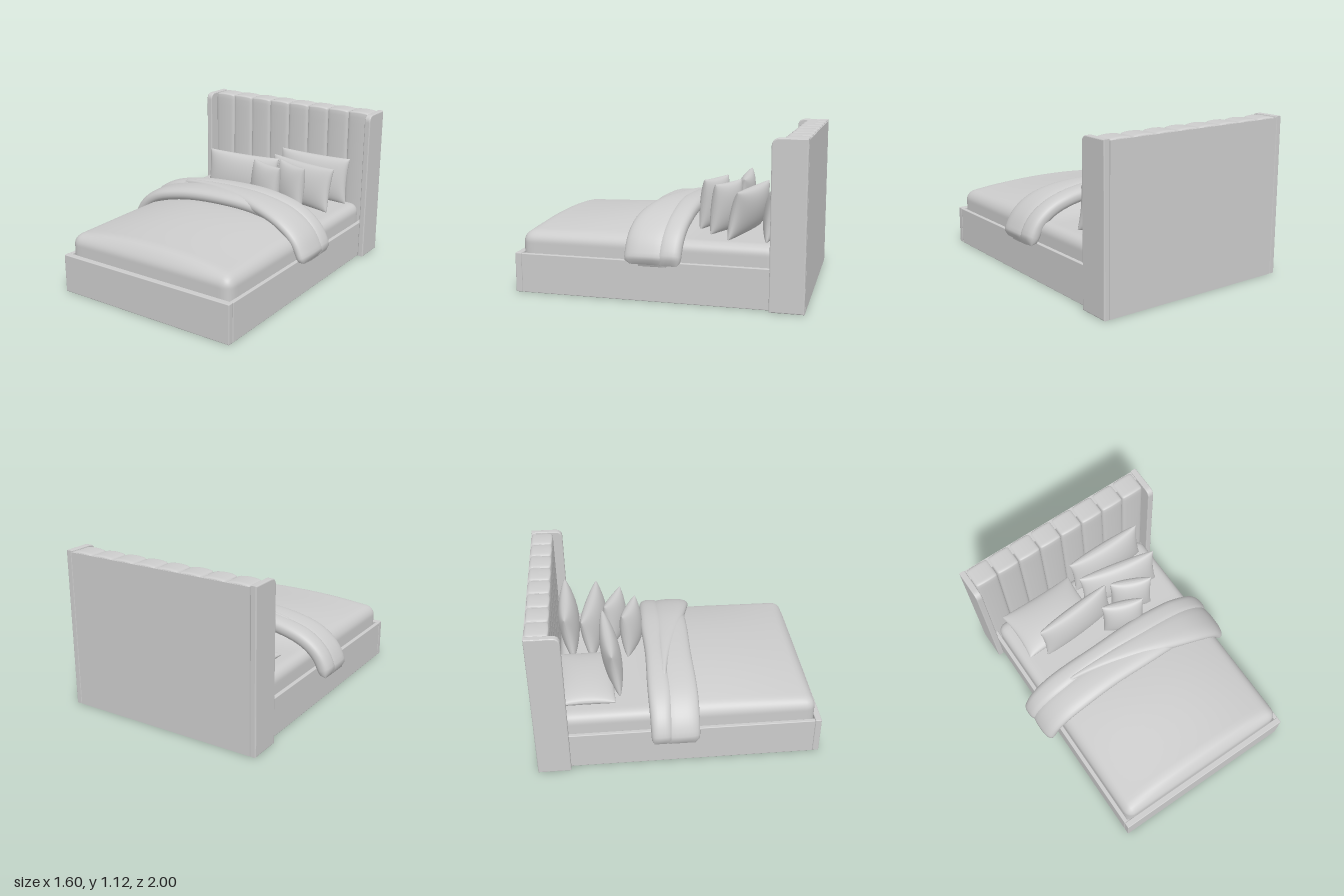
import * as THREE from 'three';
import { mergeVertices, mergeGeometries } from 'three/addons/utils/BufferGeometryUtils.js';
import { RoundedBoxGeometry } from 'three/addons/geometries/RoundedBoxGeometry.js';

const CX = 0.025; // centre line of the bed
const mat = new THREE.MeshStandardMaterial({ color: 0xcccccc, side: THREE.DoubleSide });

function add(parent, name, geo, x = 0, y = 0, z = 0) {
  const mesh = new THREE.Mesh(geo, mat);
  mesh.name = name;
  mesh.position.set(x, y, z);
  parent.add(mesh);
  return mesh;
}

// Rounded, evenly smooth box; shape(v) may push the vertices further
function softBox(w, h, d, r, n, shape) {
  const geo = new THREE.BoxGeometry(2, 2, 2, n, n, n);
  const p = geo.attributes.position;
  const half = new THREE.Vector3(w / 2, h / 2, d / 2);
  const inner = half.clone().subScalar(r);
  const v = new THREE.Vector3(), c = new THREE.Vector3();
  for (let i = 0; i < p.count; i++) {
    v.fromBufferAttribute(p, i);
    // crowd the grid lines towards the edges
    for (const k of ['x', 'y', 'z']) v[k] = Math.sin(v[k] * Math.PI / 2) * half[k];
    c.copy(v).clamp(inner.clone().negate(), inner);
    v.sub(c).normalize().multiplyScalar(r).add(c);
    if (shape) shape(v);
    p.setXYZ(i, v.x, v.y, v.z);
  }
  geo.deleteAttribute('uv');
  geo.deleteAttribute('normal');
  const out = mergeVertices(geo, 1e-5);
  out.computeVertexNormals();
  return out;
}

// Two bulged sheets meeting at a pinched seam
function pillowGeometry(w, h, t) {
  const front = new THREE.PlaneGeometry(2, 2, 28, 28);
  const p = front.attributes.position;
  for (let i = 0; i < p.count; i++) {
    const u = Math.sin(p.getX(i) * Math.PI / 2), v = Math.sin(p.getY(i) * Math.PI / 2);
    const a = Math.max(0, 1 - u * u), b = Math.max(0, 1 - v * v);
    p.setXYZ(i, u * w / 2 * (1 - 0.05 * b), v * h / 2 * (1 - 0.04 * a), t / 2 * Math.pow(a * b, 0.42));
  }
  front.computeVertexNormals();
  return mergeGeometries([front, front.clone().rotateY(Math.PI)]);
}

// Padded cloth layer draped across the bed; front(x) and back(x) give its z limits
function drape(points, front, back, thick) {
  const curve = new THREE.CatmullRomCurve3(points.map(([x, y]) => new THREE.Vector3(x, y, 0)));
  const N = 60, M = 28, pos = [], idx = [];
  for (let i = 0; i <= N; i++) {
    const s = i / N, c = curve.getPointAt(s), t = curve.getTangentAt(s);
    const end = Math.min(1, Math.min(s, 1 - s) * 25);
    const swell = Math.sqrt(1 - (1 - end) ** 2);
    const zf = front(c.x), zb = back(c.x);
    for (let j = 0; j < M; j++) {
      const a = j / M * Math.PI * 2, ca = Math.cos(a), sa = Math.sin(a);
      const k = thick * swell * Math.sign(sa) * Math.abs(sa) ** 0.85;
      const side = (zf - zb) / 2 * (0.8 + 0.2 * swell) * Math.sign(ca) * Math.abs(ca) ** 0.75;
      pos.push(c.x - t.y * k, c.y + t.x * k, (zf + zb) / 2 + side * (swell > 0 ? 1 : 0.9));
      if (i < N) {
        const q = i * M + j, r = i * M + (j + 1) % M;
        idx.push(q, q + M, r, r, q + M, r + M);
      }
    }
  }
  const geo = new THREE.BufferGeometry();
  geo.setAttribute('position', new THREE.Float32BufferAttribute(pos, 3));
  geo.setIndex(idx);
  geo.computeVertexNormals();
  return geo;
}

function createHeadboard() {
  const g = new THREE.Group();
  g.name = 'headboard';
  add(g, 'headboardBack', new THREE.BoxGeometry(1.4, 1.112, 0.08), CX, 0.556, -0.96);

  // upright padded channels
  const channel = softBox(0.176, 1.116, 0.155, 0.022, 16, v => {
    const arch = Math.max(0, 1 - (v.x / 0.088) ** 2);
    if (v.z > 0) v.z += 0.008 * arch;
    if (v.y > 0.5) v.y += 0.008 * arch;
  });
  for (let i = 0; i < 8; i++) add(g, 'headboardChannel', channel, CX + (i - 3.5) * 0.175, 0.558, -0.9215);

  // side wings with a rounded upper front corner
  const b = 0.008, s = new THREE.Shape();
  s.moveTo(-1 + b, b);
  s.lineTo(-0.77 - b, b);
  s.lineTo(-0.77 - b, 1.07);
  s.quadraticCurveTo(-0.77 - b, 1.122 - b, -0.825, 1.122 - b);
  s.lineTo(-1 + b, 1.122 - b);
  s.closePath();
  const wing = new THREE.ExtrudeGeometry(s, {
    depth: 0.045 - 2 * b, bevelSize: b, bevelThickness: b, bevelSegments: 3, curveSegments: 10,
  });
  wing.rotateY(-Math.PI / 2).translate(0.0225 - b, 0, 0);
  for (const side of [-1, 1]) add(g, 'headboardWing', wing, CX + side * 0.7225, 0, 0);
  return g;
}

function createFrame() {
  const g = new THREE.Group();
  g.name = 'bedFrame';
  for (const side of [-1, 1])
    add(g, 'sideRail', new RoundedBoxGeometry(0.03, 0.275, 1.8, 2, 0.005), CX + side * 0.685, 0.1375, 0.055);
  add(g, 'footboard', new RoundedBoxGeometry(1.4, 0.278, 0.045, 2, 0.006), CX, 0.139, 0.9775);
  add(g, 'basePanel', new THREE.BoxGeometry(1.36, 0.1, 1.82), CX, 0.058, 0.05);
  return g;
}

function createMattress() {
  const smooth = THREE.MathUtils.smoothstep;
  // flat under the pillows, domed under the quilt
  const geo = softBox(1.345, 0.32, 1.79, 0.07, 40, v => {
    if (v.y < 0) return;
    const z = v.z + 0.065, x = v.x / 0.6725;
    const rise = smooth(z, -0.25, 0.1) * (1 - 0.5 * smooth(z, 0.2, 1) - 0.4 * smooth(z, 0.86, 0.96));
    v.y += 0.097 * (1 - Math.abs(x) ** 2.2) * rise * (v.y / 0.16);
  });
  return [geo, CX + 0.0025, 0.26, 0.065];
}

function createThrow() {
  const g = new THREE.Group();
  g.name = 'foldedThrow';
  const path = [[-0.77, 0.235], [-0.7, 0.38], [-0.58, 0.475], [-0.35, 0.54], [0, 0.57],
    [0.3, 0.56], [0.54, 0.5], [0.68, 0.4], [0.76, 0.25]];
  const lift = (dx, dy) => path.map(([x, y]) => [x + dx * Math.sign(x), y + dy]);
  const ripple = x => 0.008 * Math.sin(x * 9);
  add(g, 'throwFrontFold', drape(path, x => 0.13 + ripple(x) * 0.4, () => -0.12, 0.052));
  add(g, 'throwBackFold', drape(lift(0.01, 0.012),
    x => -0.06 + ripple(x) + 0.04 * Math.max(0, x), x => -0.21 + 0.1 * Math.max(0, x - 0.5) - ripple(x) * 0.5, 0.052));
  // upper flap widening diagonally towards the left side
  const flap = lift(0.008, 0.014).filter(([x]) => x > -0.4);
  flap.unshift([-0.46, 0.53]);
  add(g, 'throwDiagonalFlap', drape(flap,
    x => -0.085 + 0.285 * THREE.MathUtils.smoothstep(x, -0.6, 0.75), () => -0.11, 0.05));
  return g;
}

function createPillows() {
  const g = new THREE.Group();
  g.name = 'pillows';
  // name, width, height, thickness, x, y, z, lean, turn
  const list = [
    ['flatPillow', 0.6, 0.4, 0.13, -0.275, 0.468, -0.635, -Math.PI / 2, 0],
    ['backPillow', 0.6, 0.35, 0.15, 0.32, 0.593, -0.75, -0.14, 0],
    ['middlePillow', 0.6, 0.33, 0.15, 0.31, 0.58, -0.56, -0.2, -0.2],
    ['longPillow', 0.61, 0.345, 0.14, -0.145, 0.588, -0.45, -0.14, 0.08],
    ['smallPillow', 0.31, 0.35, 0.14, 0.315, 0.592, -0.4, -0.1, -0.42],
    ['smallPillow', 0.31, 0.355, 0.14, 0.165, 0.595, -0.285, -0.1, -0.36],
  ];
  for (const [name, w, h, t, x, y, z, lean, turn] of list)
    add(g, name, pillowGeometry(w, h, t), x, y, z).rotation.set(lean, turn, 0, 'YXZ');
  return g;
}

export function createModel() {
  const model = new THREE.Group();
  model.name = 'bed';
  model.add(createHeadboard(), createFrame());
  add(model, 'mattress', ...createMattress());
  model.add(createThrow(), createPillows());
  return model;
}
